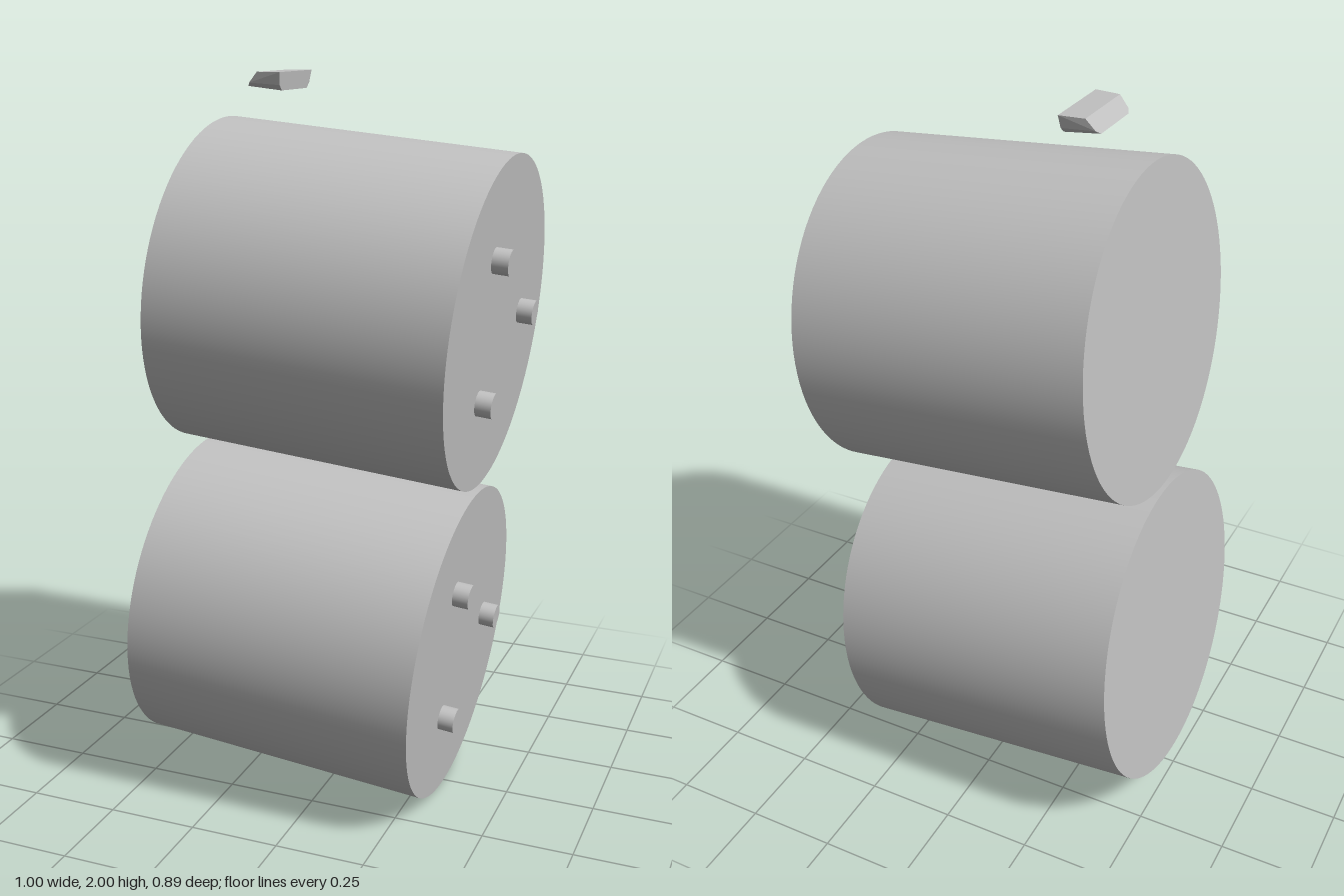
import * as THREE from 'three';
import { ConvexGeometry } from 'three/addons/geometries/ConvexGeometry.js';

const RADIUS = 0.446, LENGTH = 0.813, TILT = -5.2 * Math.PI / 180;

export function createModel() {
  const model = new THREE.Group();
  model.name = 'stackedDrums';
  const grey = new THREE.MeshStandardMaterial({ color: 0xc0c0c0 });
  grey.name = 'light grey';

  // Cylinder lying along x
  const rod = (name, radius, length, sides) => {
    const geometry = new THREE.CylinderGeometry(radius, radius, length, sides);
    geometry.rotateZ(-Math.PI / 2);
    const mesh = new THREE.Mesh(geometry, grey);
    mesh.name = name;
    return mesh;
  };

  // Drum with three pins spaced evenly round its +x end
  const drum = (name, x, y) => {
    const group = new THREE.Group();
    group.name = name;
    group.add(rod('drumBody', RADIUS, LENGTH, 96));
    for (let i = 0; i < 3; i++) {
      const angle = Math.PI + i * Math.PI * 2 / 3;
      const pin = rod('pin', 0.034, 0.054, 24);
      pin.position.set(LENGTH / 2 + 0.017, 0.217 * Math.sin(angle), 0.217 * Math.cos(angle));
      group.add(pin);
    }
    group.rotation.z = TILT;
    group.position.set(x, y, 0);
    model.add(group);
  };
  drum('lowerDrum', -0.054, 0.4855);
  drum('upperDrum', 0.028, 1.398);

  // Small wedge block floating above: x, y and half width of each corner pair
  const corners = [
    [-0.238, 1.963, 0.08], [-0.142, 1.953, 0.082],
    [-0.23, 1.972, 0.094], [-0.141, 1.967, 0.098],
    [-0.205, 2, 0.099], [-0.137, 2, 0.106],
  ];
  const points = corners.flatMap(([x, y, z]) => [
    new THREE.Vector3(x, y, z), new THREE.Vector3(x, y, -z),
  ]);
  const block = new THREE.Mesh(new ConvexGeometry(points), grey);
  block.name = 'topBlock';
  model.add(block);

  return model;
}
